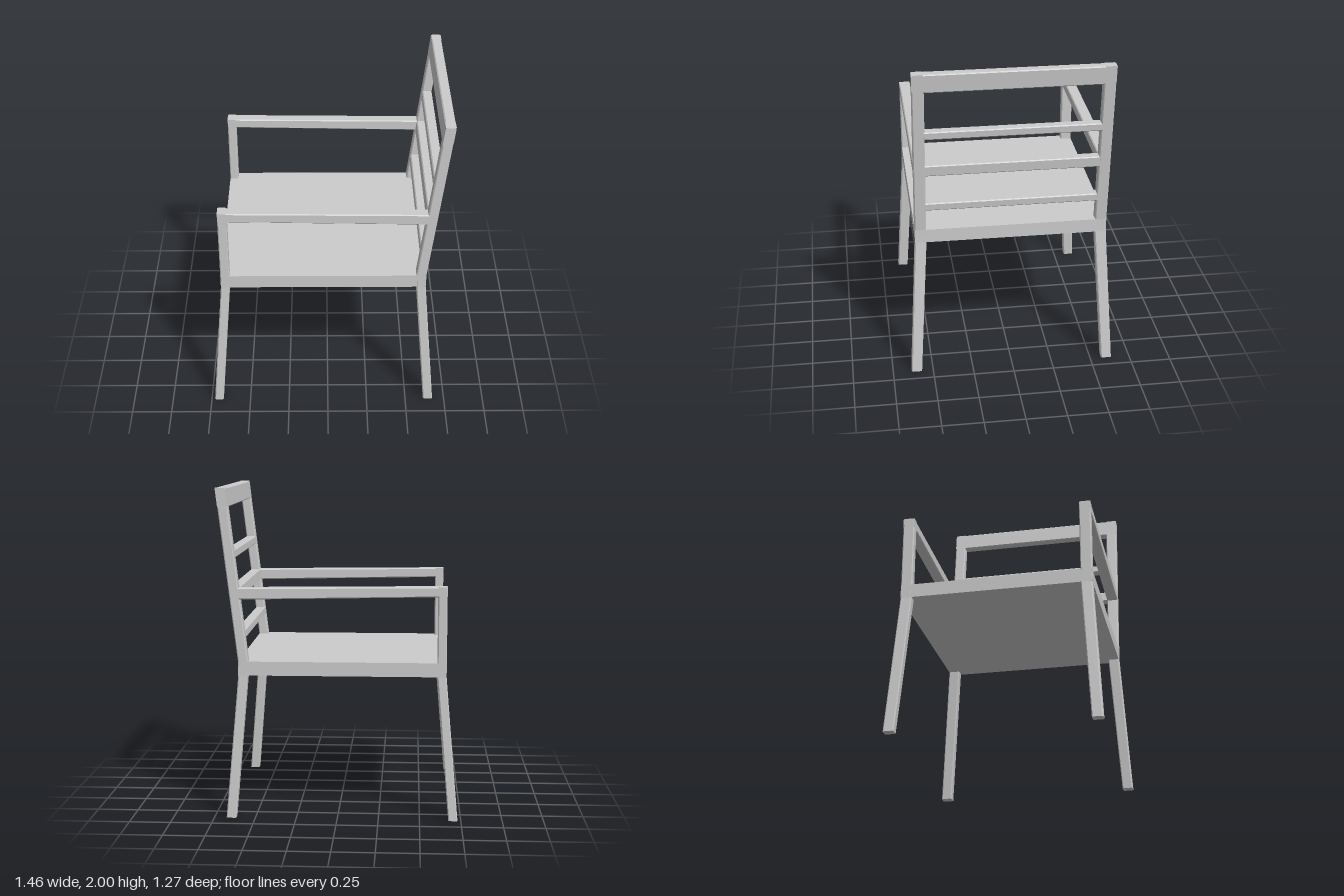
import * as THREE from 'three';

const material = new THREE.MeshStandardMaterial({ color: 0xcccccc, flatShading: true });

// Lofts a solid bar through four-cornered sections, with a small chamfer along its long edges.
function bar(name, sections, chamfer = 0.006) {
  const rings = sections.map((corners) => {
    const pts = corners.map((c) => new THREE.Vector3(...c));
    return pts.flatMap((p, i) => [pts[(i + 3) % 4], pts[(i + 1) % 4]].map((q) =>
      p.clone().lerp(q, chamfer / p.distanceTo(q))));
  });
  const tris = [];
  for (let r = 0; r < rings.length - 1; r++) {
    for (let i = 0; i < 8; i++) {
      const j = (i + 1) % 8;
      const [a, b, c, d] = [rings[r][i], rings[r][j], rings[r + 1][j], rings[r + 1][i]];
      tris.push([a, b, c], [a, c, d]);
    }
  }
  // end caps
  const first = rings[0], last = rings[rings.length - 1];
  for (let i = 1; i < 7; i++) {
    tris.push([first[0], first[i + 1], first[i]], [last[0], last[i], last[i + 1]]);
  }
  // turn the faces outward whichever way the sections run
  const centre = new THREE.Vector3();
  rings.flat().forEach((p) => centre.addScaledVector(p, 1 / (rings.length * 8)));
  const rel = (p) => p.clone().sub(centre);
  const volume = tris.reduce((s, [a, b, c]) => s + rel(a).dot(rel(b).cross(rel(c))), 0);
  if (volume < 0) tris.forEach((t) => t.reverse());
  const geometry = new THREE.BufferGeometry().setFromPoints(tris.flat());
  geometry.computeVertexNormals();
  const mesh = new THREE.Mesh(geometry, material);
  mesh.name = name;
  return mesh;
}

// Horizontal section of a post: height, x range, z range.
const level = (y, x0, x1, z0, z1) => [[x0, y, z0], [x1, y, z0], [x1, y, z1], [x0, y, z1]];

// Front face of the raked backrest at a given height.
const backX = (y) => 0.54 + 0.125 * (y - 0.96) / 1.04;
const DEPTH = 0.061;

export function createModel() {
  const group = new THREE.Group();
  group.name = 'armchair';

  // seat slab
  const seat = new THREE.Mesh(new THREE.BoxGeometry(1.255, 0.085, 1.168), material);
  seat.position.set(-0.027, 0.9175, 0);
  seat.name = 'seat';
  group.add(seat);

  for (const [side, s] of [['left', 1], ['right', -1]]) {
    const inner = 0.515 * s, outer = 0.585 * s;
    const footIn = 0.57 * s, footOut = 0.635 * s;

    // splayed front leg continuing up as the arm support
    group.add(bar(side + 'FrontLeg', [
      level(0, -0.73, -0.674, footIn, footOut),
      level(0.875, -0.655, -0.6, inner, outer),
      level(1.418, -0.655, -0.6, inner, outer),
    ]));

    // back leg continuing up as the raked back post
    group.add(bar(side + 'BackPost', [
      level(0, 0.616, 0.676, footIn, footOut),
      level(0.875, 0.542, 0.6, inner, outer),
      level(0.96, 0.54, 0.601, inner, outer),
      level(2, backX(2), backX(2) + DEPTH, inner, outer),
    ]));

    // armrest, tapering slightly to the back
    const armSection = (x, y0, y1) => [[x, y0, inner], [x, y1, inner], [x, y1, outer], [x, y0, outer]];
    group.add(bar(side + 'Armrest', [armSection(-0.654, 1.358, 1.418), armSection(0.61, 1.335, 1.405)]));
  }

  // back slats and top rail, leaning with the posts
  const rails = [
    ['lowerSlat', 1.095, 1.145, 0.52],
    ['middleSlat', 1.335, 1.405, 0.52],
    ['upperSlat', 1.58, 1.63, 0.52],
    ['topRail', 1.885, 2, 0.585],
  ];
  for (const [name, y0, y1, half] of rails) {
    const section = (z) => [
      [backX(y0), y0, z], [backX(y0) + DEPTH, y0, z],
      [backX(y1) + DEPTH, y1, z], [backX(y1), y1, z],
    ];
    group.add(bar(name, [section(-half), section(half)]));
  }
  return group;
}
